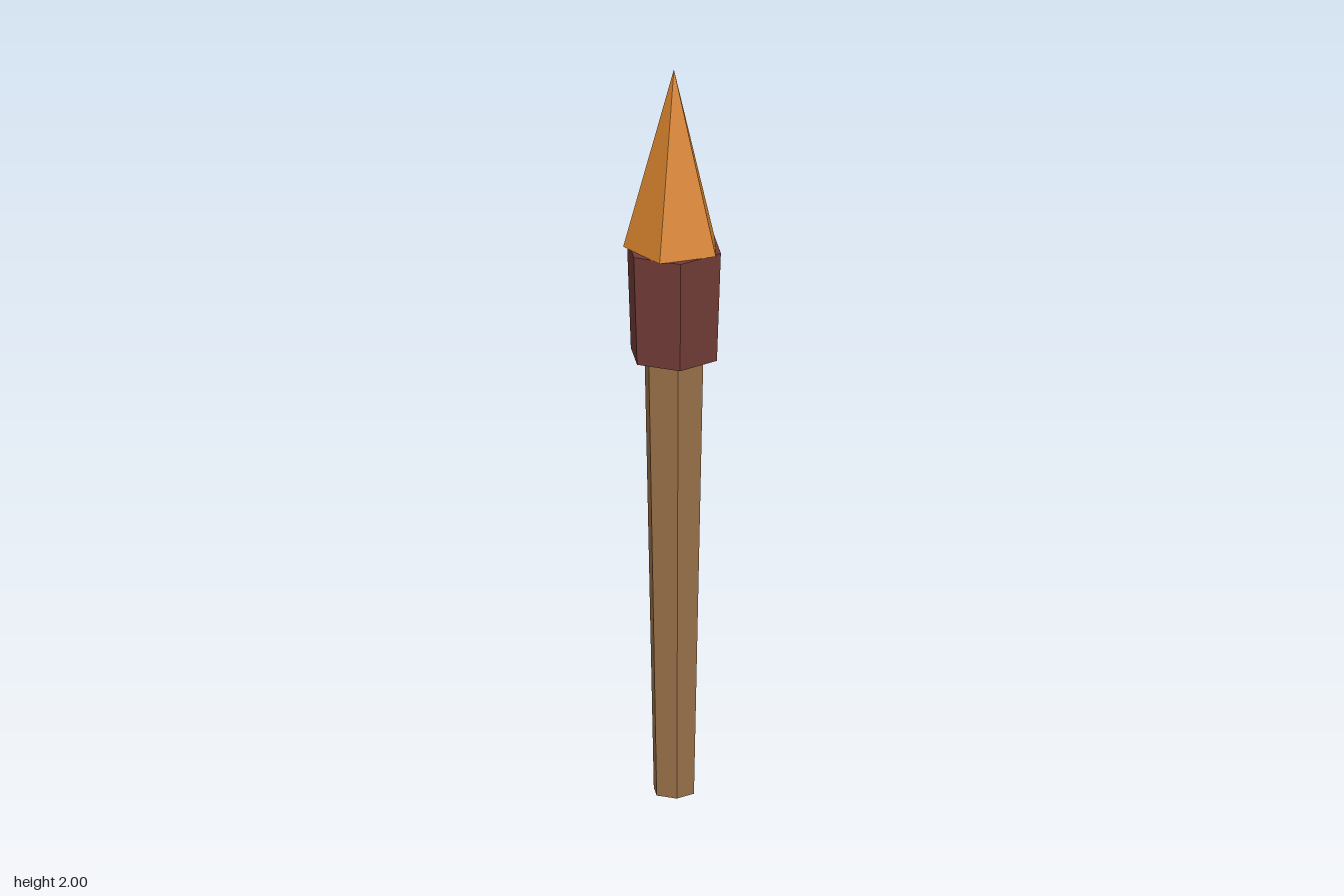
import * as THREE from 'three';

const paint = (name, color) => {
  const m = new THREE.MeshStandardMaterial({ color });
  m.name = name;
  return m;
};

// Faceted tapering prism standing between two heights
function taper(name, material, rTop, rBottom, y0, y1, sides, turn = 0) {
  const geo = new THREE.CylinderGeometry(rTop, rBottom, y1 - y0, sides, 1, false, turn).toNonIndexed();
  geo.computeVertexNormals();
  const mesh = new THREE.Mesh(geo, material);
  mesh.name = name;
  mesh.position.y = (y0 + y1) / 2;
  return mesh;
}

export function createModel() {
  const torch = new THREE.Group();
  torch.name = 'torch';

  const wood = paint('wood brown', 0x9a724a);
  const wrap = paint('dark red wrap', 0x723c36);
  const fire = paint('flame orange', 0xd9842e);
  for (const m of [wood, wrap, fire]) m.flatShading = true;

  // Six-sided handle, wider towards the top
  torch.add(taper('handle', wood, 0.082, 0.056, 0, 1.21, 6));
  // Six-sided collar wrapped round the head
  torch.add(taper('collar', wrap, 0.131, 0.12, 1.21, 1.51, 6));
  // Five-sided flame with one corner at the back
  const flame = new THREE.ConeGeometry(0.131, 0.49, 5, 1, false, Math.PI);
  const flameMesh = new THREE.Mesh(flame, fire);
  flameMesh.name = 'flame';
  flameMesh.position.y = 1.755;
  torch.add(flameMesh);

  return torch;
}
